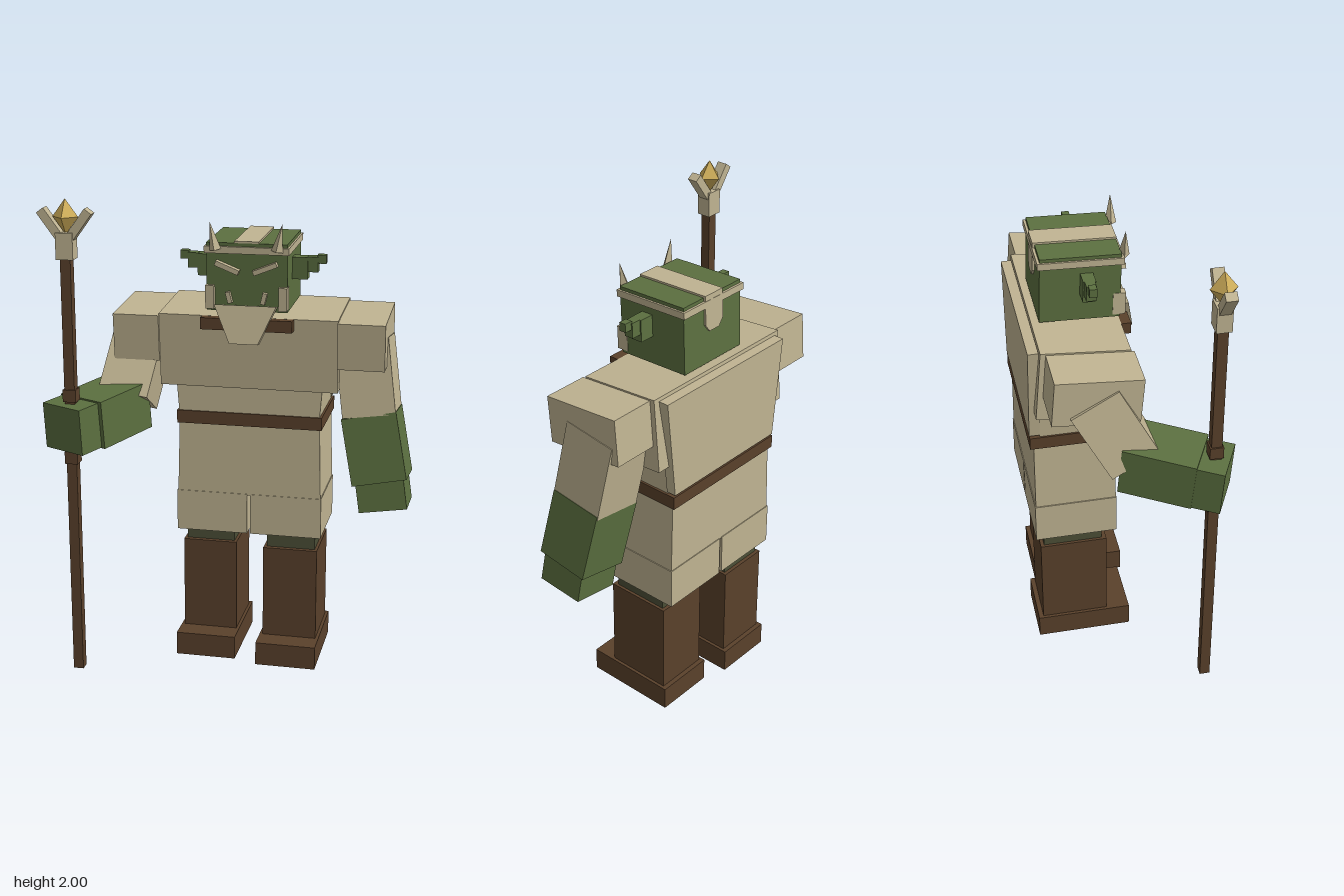
import * as THREE from 'three';

const mat = (name, color) => {
  const m = new THREE.MeshStandardMaterial({ color });
  m.name = name;
  return m;
};

export function createModel() {
  const root = new THREE.Group();
  root.name = 'staffBearer';
  const cloth = mat('beigeCloth', 0xc0b492);
  const skin = mat('greenSkin', 0x5c7040);
  const leather = mat('brownLeather', 0x5a412b);
  const trousers = mat('darkTrousers', 0x4c4f37);
  const gold = mat('goldGem', 0xcfae5a);
  const CX = 0.058; // body centre line

  const add = (name, geo, m, parent = root) => {
    const mesh = new THREE.Mesh(geo, m);
    mesh.name = name;
    parent.add(mesh);
    return mesh;
  };
  // box given by its limits on each axis
  const box = (name, m, [x0, x1], [y0, y1], [z0, z1], parent = root) => {
    const mesh = add(name, new THREE.BoxGeometry(x1 - x0, y1 - y0, z1 - z0), m, parent);
    mesh.position.set((x0 + x1) / 2, (y0 + y1) / 2, (z0 + z1) / 2);
    return mesh;
  };
  // narrow or widen the bottom of a box
  const taper = (mesh, sx, sz = 1) => {
    const p = mesh.geometry.attributes.position;
    for (let i = 0; i < p.count; i++) {
      if (p.getY(i) < 0) p.setXYZ(i, p.getX(i) * sx, p.getY(i), p.getZ(i) * sz);
    }
    mesh.geometry.computeVertexNormals();
    return mesh;
  };
  // box running down from a to b
  const limb = (name, m, a, b, w, d, parent = root) => {
    const A = new THREE.Vector3(...a), B = new THREE.Vector3(...b);
    const mesh = add(name, new THREE.BoxGeometry(w, A.distanceTo(B), d), m, parent);
    mesh.position.copy(A).add(B).multiplyScalar(0.5);
    mesh.quaternion.setFromUnitVectors(new THREE.Vector3(0, 1, 0), A.sub(B).normalize());
    return mesh;
  };
  // box running level from a to b, kept upright
  const reach = (name, m, a, b, w, h) => {
    const A = new THREE.Vector3(...a), B = new THREE.Vector3(...b);
    const mesh = add(name, new THREE.BoxGeometry(w, h, A.distanceTo(B)), m);
    mesh.position.copy(A).add(B).multiplyScalar(0.5);
    mesh.lookAt(B);
    return mesh;
  };

  // legs and boots, the right one a little further back
  for (const [side, x, dz] of [['left', 0.237, 0], ['right', -0.117, -0.035]]) {
    box(side + 'Foot', leather, [x - 0.128, x + 0.128], [0, 0.1], [-0.33 + dz, 0.067 + dz]);
    box(side + 'Boot', leather, [x - 0.115, x + 0.115], [0.1, 0.5], [-0.31 + dz, -0.03 + dz]);
    box(side + 'Leg', trousers, [x - 0.103, x + 0.103], [0.5, 0.62], [-0.295 + dz, -0.05 + dz]);
  }

  // tunic: skirt with a slit, waist, belt
  taper(box('skirt', cloth, [-0.237, 0.355], [0.73, 1.05], [-0.36, -0.03]), 1.03, 1.01);
  box('rightSkirtFlap', cloth, [-0.25, 0.052], [0.56, 0.735], [-0.365, -0.026]);
  box('leftSkirtFlap', cloth, [0.066, 0.367], [0.56, 0.735], [-0.365, -0.026]);
  taper(box('waist', cloth, [-0.25, 0.368], [1.05, 1.26], [-0.335, -0.025]), 0.95);
  box('belt', leather, [-0.245, 0.365], [1.036, 1.09], [-0.375, -0.018]);

  // chest and shoulders lean forward
  const lean = 0.08;
  box('chest', cloth, [-0.31, 0.43], [1.215, 1.52], [-0.345, 0.005]).rotation.x = lean;
  for (const [side, x] of [['left', 0.525], ['right', -0.405]]) {
    box(side + 'Shoulder', cloth, [x - 0.096, x + 0.096], [1.32, 1.512], [-0.32, 0.022]).rotation.x = lean;
  }
  taper(box('backCape', cloth, [-0.285, 0.405], [1.1, 1.52], [-0.377, -0.335]), 0.87);
  box('collarStrap', leather, [-0.127, 0.25], [1.457, 1.505], [0, 0.056]);

  // left arm hanging
  limb('leftSleeve', cloth, [0.515, 1.4, -0.185], [0.558, 1.09, -0.143], 0.22, 0.23);
  limb('leftForearm', skin, [0.556, 1.095, -0.143], [0.611, 0.82, -0.11], 0.228, 0.228);
  limb('leftHand', skin, [0.608, 0.84, -0.11], [0.629, 0.705, -0.1], 0.2, 0.2);

  // right arm reaching to the staff
  limb('rightSleeve', cloth, [-0.41, 1.4, -0.16], [-0.455, 1.13, -0.012], 0.21, 0.21);
  reach('rightForearm', skin, [-0.45, 1.118, -0.03], [-0.577, 1.092, 0.23], 0.22, 0.2);
  reach('rightHand', skin, [-0.575, 1.092, 0.21], [-0.632, 1.083, 0.326], 0.2, 0.19);

  // staff
  const staff = new THREE.Group();
  staff.name = 'staff';
  staff.position.set(-0.607, 0, 0.278);
  root.add(staff);
  const sq = (r) => [-r, r];
  box('staffPole', leather, sq(0.021), [0.02, 1.78], sq(0.021), staff);
  for (const y of [0.955, 1.215]) {
    box('staffBinding', leather, sq(0.027), [y - 0.025, y + 0.025], sq(0.027), staff);
  }
  box('staffSocket', cloth, sq(0.035), [1.765, 1.87], sq(0.03), staff);
  for (const s of [-1, 1]) {
    limb('staffProng', cloth, [s * 0.097, 1.955, 0], [s * 0.02, 1.85, 0], 0.035, 0.045, staff);
  }
  const gem = add('staffGem', new THREE.OctahedronGeometry(1), gold, staff);
  gem.scale.set(0.052, 0.07, 0.052);
  gem.position.y = 1.93;

  // head, tipped slightly forward
  const head = new THREE.Group();
  head.name = 'head';
  head.position.set(CX, 1.67, -0.14);
  head.rotation.x = 0.035;
  root.add(head);
  box('skull', skin, sq(0.165), [-0.135, 0.142], [-0.158, 0.158], head);
  box('headBand', cloth, sq(0.173), [0.1, 0.128], [-0.168, 0.168], head);
  box('crownStripe', cloth, sq(0.05), [0.142, 0.15], [-0.164, 0.16], head);
  box('napeStripe', cloth, sq(0.05), [0.03, 0.15], [-0.167, -0.158], head);
  taper(box('napeStripeEnd', cloth, sq(0.05), [0, 0.03], [-0.167, -0.158], head), 0.55);
  for (const s of [-1, 1]) {
    const span = (a, b) => (s > 0 ? [a, b] : [-b, -a]);
    // stepped ears
    box('earBase', skin, span(0.16, 0.228), [-0.02, 0.07], [-0.002, 0.048], head);
    box('earMiddle', skin, span(0.226, 0.27), [0.01, 0.072], [0.003, 0.043], head);
    box('earTip', skin, span(0.266, 0.302), [0.045, 0.08], [0.008, 0.038], head);
    // horns
    const horn = add('horn', new THREE.ConeGeometry(0.024, 0.115, 4).toNonIndexed(), cloth, head);
    horn.geometry.computeVertexNormals();
    horn.position.set(s * 0.136, 0.172, 0.172);
    horn.rotation.z = -s * 0.2;
    // slanted brows, whiskers and tusks
    limb('brow', cloth, [s * 0.125, 0.064, 0.17], [s * 0.03, 0.026, 0.17], 0.02, 0.03, head);
    box('whisker', cloth, span(0.132, 0.167), [-0.125, -0.03], [0.13, 0.18], head);
    limb('tusk', cloth, [s * 0.077, -0.055, 0.168], [s * 0.066, -0.1, 0.168], 0.018, 0.02, head);
  }

  // beard tapering down and jutting forward
  const beard = taper(box('beard', cloth, [CX - 0.127, CX + 0.127], [1.405, 1.56], [0.03, 0.065]), 0.46);
  beard.rotation.x = -0.2;
  beard.position.z = 0.056;

  return root;
}
